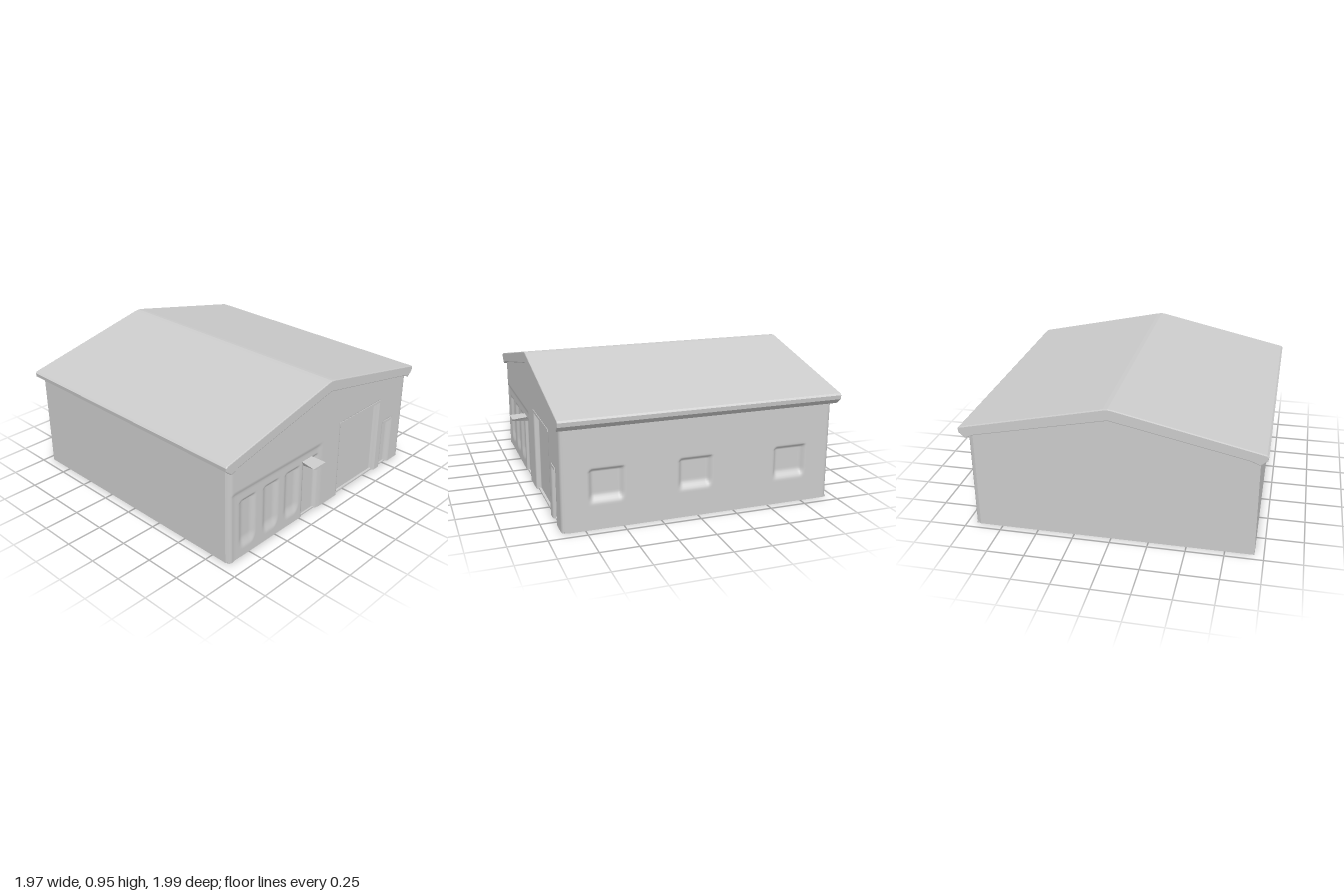
import * as THREE from 'three';

const grey = new THREE.MeshStandardMaterial({ color: 0xcccccc });
const greyThin = new THREE.MeshStandardMaterial({ color: 0xcccccc, side: THREE.DoubleSide });
const R = 0.035; // rounding of the wall corners

function add(group, name, geometry, material = grey) {
  const mesh = new THREE.Mesh(geometry, material);
  mesh.name = name;
  group.add(mesh);
  return mesh;
}

// Solid with a constant cross-section in x and y, running from z0 to z1
function extrudeZ(points, z0, z1, bevel = 0) {
  const shape = new THREE.Shape(points.map(([x, y]) => new THREE.Vector2(x, y)));
  const g = new THREE.ExtrudeGeometry(shape, {
    depth: z1 - z0 - 2 * bevel, bevelEnabled: bevel > 0, bevelSize: bevel,
    bevelThickness: bevel, bevelOffset: -bevel, bevelSegments: 2,
  });
  return g.translate(0, 0, z0 + bevel);
}

// How far a point lies inside a recess, 0 to 1, with sloping margins
// recess: [u0, u1, y0, y1, depth, side margin, bottom margin]
function recessDepth(u, y, [u0, u1, y0, y1, depth, side, bottom]) {
  const s = THREE.MathUtils.smoothstep;
  return depth * s(u, u0, u0 + side) * (1 - s(u, u1 - side, u1))
    * s(y, y0, y0 + bottom) * (1 - s(y, y1 - 0.012, y1));
}

// Wall facing +z, its face pushed in by recesses and rounded off at chosen ends
function wall(u0, u1, height, recesses, roundStart, roundEnd, top) {
  const w = u1 - u0;
  const g = new THREE.PlaneGeometry(w, height, Math.round(w / 0.01), Math.round(height / 0.012));
  g.translate((u0 + u1) / 2, height / 2, 0);
  const p = g.attributes.position;
  const round = d => (d >= R ? 0 : R - Math.sqrt(Math.max(0, R * R - (R - d) ** 2)));
  for (let i = 0; i < p.count; i++) {
    const u = p.getX(i), y = p.getY(i);
    let depth = Math.max(0, ...recesses.map(r => recessDepth(u, y, r)));
    if (roundStart) depth = Math.max(depth, round(u - u0));
    if (roundEnd) depth = Math.max(depth, round(u1 - u));
    p.setXYZ(i, u, Math.min(y, top(u)), -depth);
  }
  g.computeVertexNormals();
  return g;
}

export function createModel() {
  const model = new THREE.Group();
  model.name = 'gabledBuilding';

  // Inner body: back gable, plain left wall and core behind the recessed walls
  add(model, 'body', extrudeZ(
    [[-0.94, 0], [0.905, 0], [0.905, 0.7], [0, 0.9], [-0.94, 0.7]], -0.95, 0.865));

  // Floor slab
  const floor = new THREE.BoxGeometry(1.87, 0.012, 1.83);
  add(model, 'floorSlab', floor).position.set(0, 0.006, -0.03);

  // Front wall: vehicle door, small door, entrance and the row of bays
  const frontRecesses = [
    [0.155, 0.62, -0.1, 0.575, 0.032, 0.018, 0.02],
    [0.68, 0.8, -0.1, 0.375, 0.026, 0.03, 0.02],
    [-0.24, -0.07, -0.1, 0.43, 0.026, 0.025, 0.02],
    [-0.94, -0.03, -0.1, 0.5, 0.008, 0.06, 0.02],
    ...[-0.77, -0.55, -0.34].map(x => [x - 0.1, x + 0.1, 0.02, 0.42, 0.026, 0.07, 0.12]),
  ];
  const front = wall(-0.94, 0.94, 0.9, frontRecesses, true, true,
    x => 0.9 - 0.215 * Math.abs(x));
  add(model, 'frontWall', front, greyThin).position.z = 0.9;

  // Left side wall with three recessed windows and splayed sills
  const windows = [-0.61, -0.02, 0.65].map(
    (u, i) => [u - 0.12, u + 0.12, i === 1 ? 0.18 : 0.17, 0.4, 0.03, 0.035, 0.06]);
  const side = wall(-0.865, 0.95, 0.7, windows, false, true, () => 0.7);
  side.rotateY(Math.PI / 2).translate(0.94, 0, 0);
  add(model, 'windowWall', side, greyThin);

  // Roof: two slopes with a rounded ridge and flared eaves
  const half = [[0.03, 0.949], [0.975, 0.741], [0.987, 0.73], [0.983, 0.702], [0.94, 0.665], [0.88, 0.69]];
  const mirrored = half.map(([x, y]) => [-x, y]).reverse();
  const section = [[0, 0.953], ...half, [0, 0.875], ...mirrored];
  add(model, 'roof', extrudeZ(section, -0.99, 0.92, 0.006));

  // Entrance canopy, widening outward and thinner at its tip
  const canopy = new THREE.BoxGeometry(1, 1, 1);
  const p = canopy.attributes.position;
  for (let i = 0; i < p.count; i++) {
    const outer = p.getZ(i) > 0, upper = p.getY(i) > 0;
    const w = (outer ? 0.125 : 0.1) * (upper ? 1 : 0.65);
    const y = upper ? (outer ? 0.435 : 0.442) : (outer ? 0.42 : 0.405);
    p.setXYZ(i, -0.193 + p.getX(i) * w, y, outer ? 1.0 : 0.88);
  }
  canopy.computeVertexNormals();
  add(model, 'entranceCanopy', canopy);

  // Lintels over the vehicle door and the small door
  for (const [name, x, y, w] of [['vehicleDoorLintel', 0.38, 0.573, 0.48], ['smallDoorLintel', 0.74, 0.373, 0.1]]) {
    add(model, name, new THREE.BoxGeometry(w, 0.018, 0.04)).position.set(x, y, 0.884);
  }

  return model;
}
